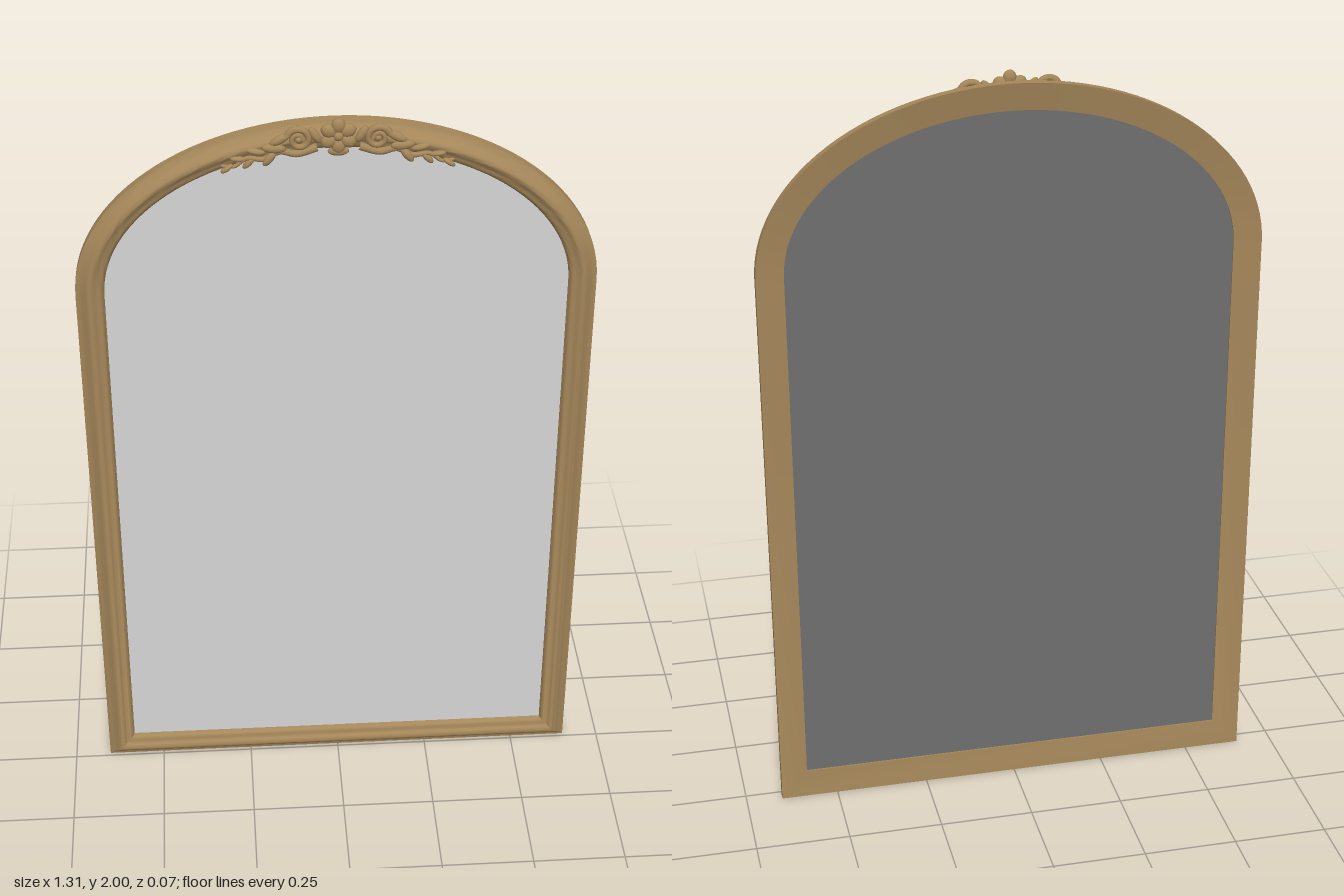
import * as THREE from 'three';
import { toCreasedNormals } from 'three/addons/utils/BufferGeometryUtils.js';

const HALF = 0.653, SPRING = 1.52, RISE = 0.46, ARCH_STEPS = 56;

// Arched outline, moved inward by d
function outline(d) {
  const pts = [new THREE.Vector2(-HALF + d, d), new THREE.Vector2(HALF - d, d)];
  for (let i = 0; i <= ARCH_STEPS; i++) {
    const t = Math.PI * i / ARCH_STEPS;
    pts.push(new THREE.Vector2((HALF - d) * Math.cos(t), SPRING + (RISE - d) * Math.sin(t)));
  }
  return pts;
}

// Height of the arch at x, on the outline moved inward by d
function archY(x, d) {
  return SPRING + (RISE - d) * Math.sqrt(1 - (x / (HALF - d)) ** 2);
}

// Moulding profile swept round the outline with mitred corners
function frameGeometry() {
  const profile = [ // inward distance, z
    [0, -0.034], [0, -0.010], [0.010, -0.007], [0.016, -0.001], [0.021, 0.003],
    [0.026, 0.010], [0.032, 0.014], [0.038, 0.015], [0.044, 0.012], [0.050, 0.006],
    [0.056, 0.004], [0.062, 0.003], [0.067, -0.001], [0.072, -0.010], [0.072, -0.022],
  ];
  const loops = profile.map(([d, z]) => outline(d).map(p => [p.x, p.y, z]));
  const n = loops[0].length, m = loops.length;
  const index = [];
  for (let j = 0; j < m; j++) {
    for (let i = 0; i < n; i++) {
      const a = j * n + i, b = j * n + (i + 1) % n;
      const k = ((j + 1) % m) * n;
      const c = k + (i + 1) % n, d = k + i;
      index.push(a, b, c, a, c, d);
    }
  }
  const geo = new THREE.BufferGeometry();
  geo.setAttribute('position', new THREE.Float32BufferAttribute(loops.flat(2), 3));
  geo.setIndex(index);
  return toCreasedNormals(geo, 0.75);
}

// Tube that tapers from r0 to r1
function taperedTube(points, r0, r1) {
  const curve = new THREE.CatmullRomCurve3(points);
  const steps = 36, sides = 8;
  const geo = new THREE.TubeGeometry(curve, steps, 1, sides, false);
  const pos = geo.attributes.position, v = new THREE.Vector3();
  for (let i = 0; i <= steps; i++) {
    const p = curve.getPointAt(i / steps), r = r0 + (r1 - r0) * i / steps;
    for (let j = 0; j <= sides; j++) {
      const k = i * (sides + 1) + j;
      v.fromBufferAttribute(pos, k).sub(p).multiplyScalar(r).add(p);
      pos.setXYZ(k, v.x, v.y, v.z);
    }
  }
  return geo;
}

export function createModel() {
  const model = new THREE.Group();
  model.name = 'archedMirror';
  const bronze = new THREE.MeshStandardMaterial({ color: 0xa5875a });
  bronze.name = 'antique bronze';
  const silver = new THREE.MeshStandardMaterial({ color: 0xd5d5d5 });
  silver.name = 'mirror silver';
  const dark = new THREE.MeshStandardMaterial({ color: 0x6f6f6f });
  dark.name = 'backing grey';

  const add = (parent, name, geo, mat = bronze) => {
    const mesh = new THREE.Mesh(geo, mat);
    mesh.name = name;
    parent.add(mesh);
    return mesh;
  };

  add(model, 'frame', frameGeometry());

  // Mirror pane and its backing
  const paneShape = new THREE.Shape(outline(0.0715));
  add(model, 'mirrorPane', new THREE.ShapeGeometry(paneShape), silver).position.z = -0.010;
  const backing = add(model, 'backing', new THREE.ShapeGeometry(paneShape).rotateY(Math.PI), dark);
  backing.position.z = -0.018;

  // Carved crest
  const crest = new THREE.Group();
  crest.name = 'crest';
  model.add(crest);
  const ball = new THREE.SphereGeometry(1, 14, 10);
  const lobe = (name, x, y, z, sx, sy, sz, angle = 0) => {
    const mesh = add(crest, name, ball);
    mesh.position.set(x, y, z);
    mesh.scale.set(sx, sy, sz);
    mesh.rotation.z = angle;
  };

  // Central flower
  for (let i = 0; i < 6; i++) {
    const a = Math.PI / 2 + i * Math.PI / 3;
    lobe('petal', 0.027 * Math.cos(a), 1.953 + 0.027 * Math.sin(a), 0.020, 0.020, 0.017, 0.012, a);
  }
  lobe('flowerHeart', 0, 1.953, 0.024, 0.012, 0.012, 0.010);
  lobe('flowerBase', 0, 1.912, 0.018, 0.026, 0.012, 0.010);

  for (const s of [-1, 1]) {
    // Spiral scroll and the stem that runs out along the arch
    const scroll = [];
    for (let i = 0; i <= 16; i++) {
      const a = 0.3 + i * 0.55, r = 0.009 + 0.021 * i / 16;
      scroll.push(new THREE.Vector3(s * (0.095 - r * Math.cos(a)), 1.946 + r * Math.sin(a), 0.021));
    }
    add(crest, 'scroll', taperedTube(scroll, 0.006, 0.010));
    lobe('scrollEye', s * 0.095, 1.946, 0.020, 0.009, 0.009, 0.010);

    const stem = [0.05, 0.10, 0.14, 0.18, 0.22, 0.25, 0.28].map((x, i) =>
      new THREE.Vector3(s * x, archY(x, 0.060 + (i % 2 ? 0.007 : -0.005)), 0.017 - 0.001 * i));
    add(crest, 'stem', taperedTube(stem, 0.011, 0.004));

    // Leaves shrinking towards the tip
    const leaves = [ // x, inward distance, length, width, angle
      [0.056, 0.022, 0.024, 0.011, 1.0], [0.140, 0.022, 0.028, 0.011, -0.5],
      [0.155, 0.042, 0.030, 0.012, 0.1], [0.165, 0.066, 0.024, 0.010, -0.9],
      [0.198, 0.044, 0.024, 0.009, 0.2], [0.215, 0.068, 0.020, 0.008, -0.8],
      [0.242, 0.050, 0.019, 0.007, 0.1], [0.268, 0.066, 0.018, 0.007, -0.6],
    ];
    for (const [x, d, len, wid, angle] of leaves) {
      const z = x < 0.18 ? 0.020 : 0.012;
      lobe('leaf', s * x, archY(x, d), z, len, wid, 0.010, s * angle);
    }
  }
  return model;
}
